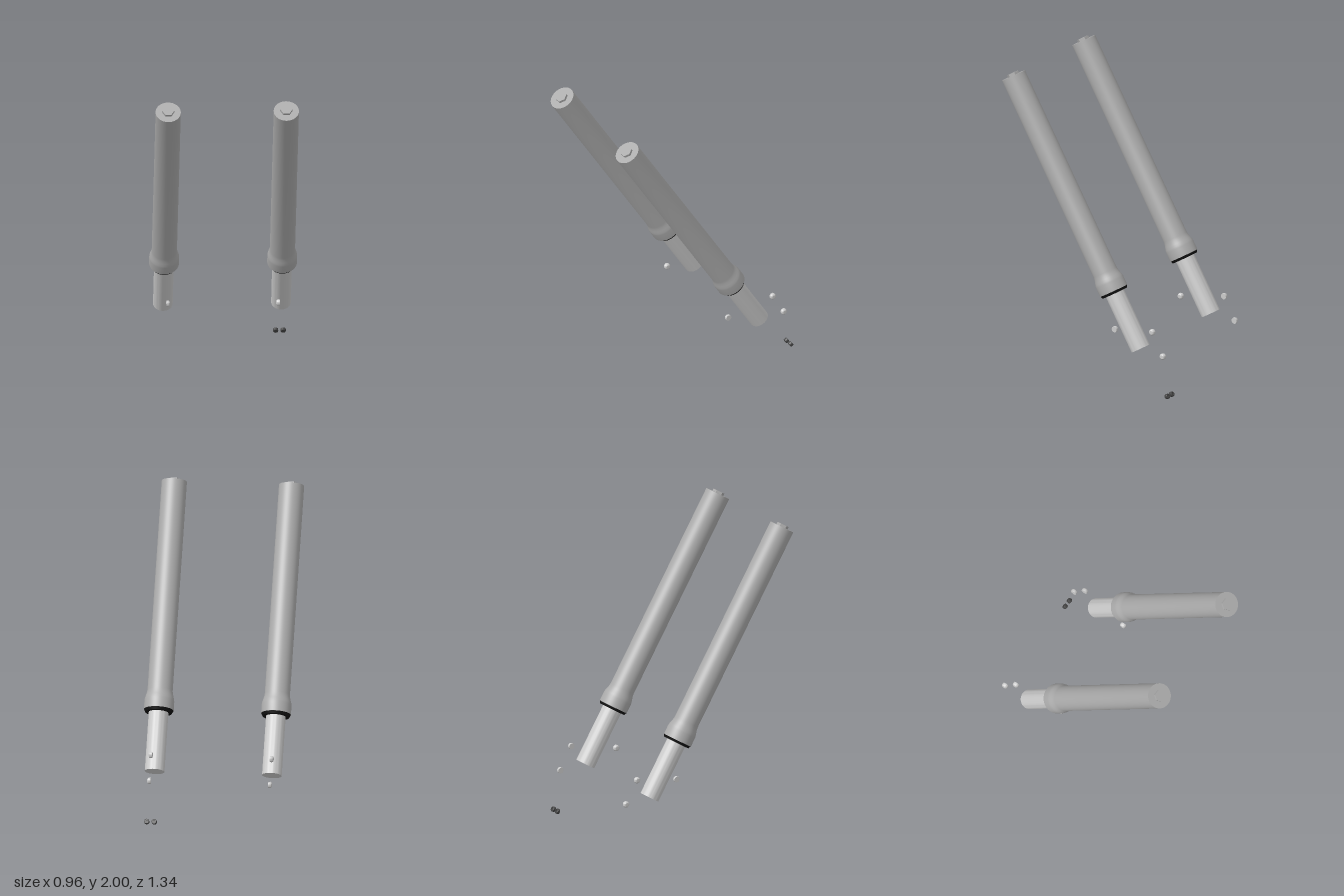
import * as THREE from 'three';
import { toCreasedNormals } from 'three/addons/utils/BufferGeometryUtils.js';

const TILT = 0.5515; // lean of the legs, top towards the front
const LEG_X = 0.383;

const paint = (color) => new THREE.MeshStandardMaterial({ color });
const chrome = paint(0xcccccc);
const alloy = paint(0xaaaaaa);
const rubber = paint(0x111111);
const darkSteel = paint(0x444444);

// Turned part: [radius, height] pairs listed from bottom to top
function turned(name, profile, material, segments = 48) {
  const points = profile.map(([r, y]) => new THREE.Vector2(r, y));
  const geometry = toCreasedNormals(new THREE.LatheGeometry(points, segments), 0.6);
  const mesh = new THREE.Mesh(geometry, material);
  mesh.name = name;
  return mesh;
}

// One telescopic leg, standing along its own y axis from the lower end
function makeLeg(name) {
  const leg = new THREE.Group();
  leg.name = name;
  leg.add(
    turned('innerTube', [[0, 0], [0.064, 0], [0.064, 0.46], [0, 0.46]], chrome),
    turned('dustSeal', [[0.064, 0.396], [0.087, 0.396], [0.096, 0.415], [0.064, 0.415]], rubber),
    turned('outerTube', [
      [0.06, 0.413], [0.097, 0.413], [0.097, 0.475], [0.095, 0.489], [0.09, 0.506],
      [0.085, 0.525], [0.082, 0.545], [0.082, 1.953], [0, 1.953],
    ], alloy),
  );
  // Hexagonal cap on the top end
  const cap = new THREE.Mesh(
    toCreasedNormals(new THREE.CylinderGeometry(0.04, 0.04, 0.024, 6), 0.5), alloy);
  cap.name = 'hexCap';
  cap.rotation.y = Math.PI / 6;
  cap.position.y = 1.958;
  leg.add(cap);
  leg.rotation.x = TILT;
  return leg;
}

// Domed clamp bolt lying along x, its dome facing the given side
function makeBolt(side) {
  const bolt = turned('clampBolt', [
    [0, -0.012], [0.02, -0.012], [0.021, 0], [0.019, 0.006], [0.013, 0.011], [0, 0.012],
  ], chrome, 20);
  bolt.rotation.z = -side * Math.PI / 2;
  return bolt;
}

export function createModel() {
  const model = new THREE.Group();
  model.name = 'forkLegs';

  for (const side of [1, -1]) {
    const leg = makeLeg(side > 0 ? 'leftLeg' : 'rightLeg');
    leg.position.set(side * LEG_X, 0.294, -0.424);
    model.add(leg);

    // Clamp bolts around the lower end: [x, y, z, dome outward or inward]
    for (const [x, y, z, dome] of [
      [0.356, 0.368, -0.2, -1],
      [0.396, 0.434, -0.525, 1],
      [0.396, 0.284, -0.61, 1],
    ]) {
      const bolt = makeBolt(side * dome);
      bolt.position.set(side * x, y, z);
      model.add(bolt);
    }
  }

  // Pair of small dark screws, only below the left leg
  for (const x of [0.356, 0.405]) {
    const screw = turned('smallScrew', [
      [0, -0.011], [0.014, -0.011], [0.017, -0.008], [0.017, 0.008],
      [0.014, 0.011], [0.008, 0.011], [0.008, 0.004], [0, 0.004],
    ], darkSteel, 20);
    screw.rotation.x = TILT - Math.PI / 2;
    screw.position.set(x, 0.021, -0.655);
    model.add(screw);
  }
  return model;
}
